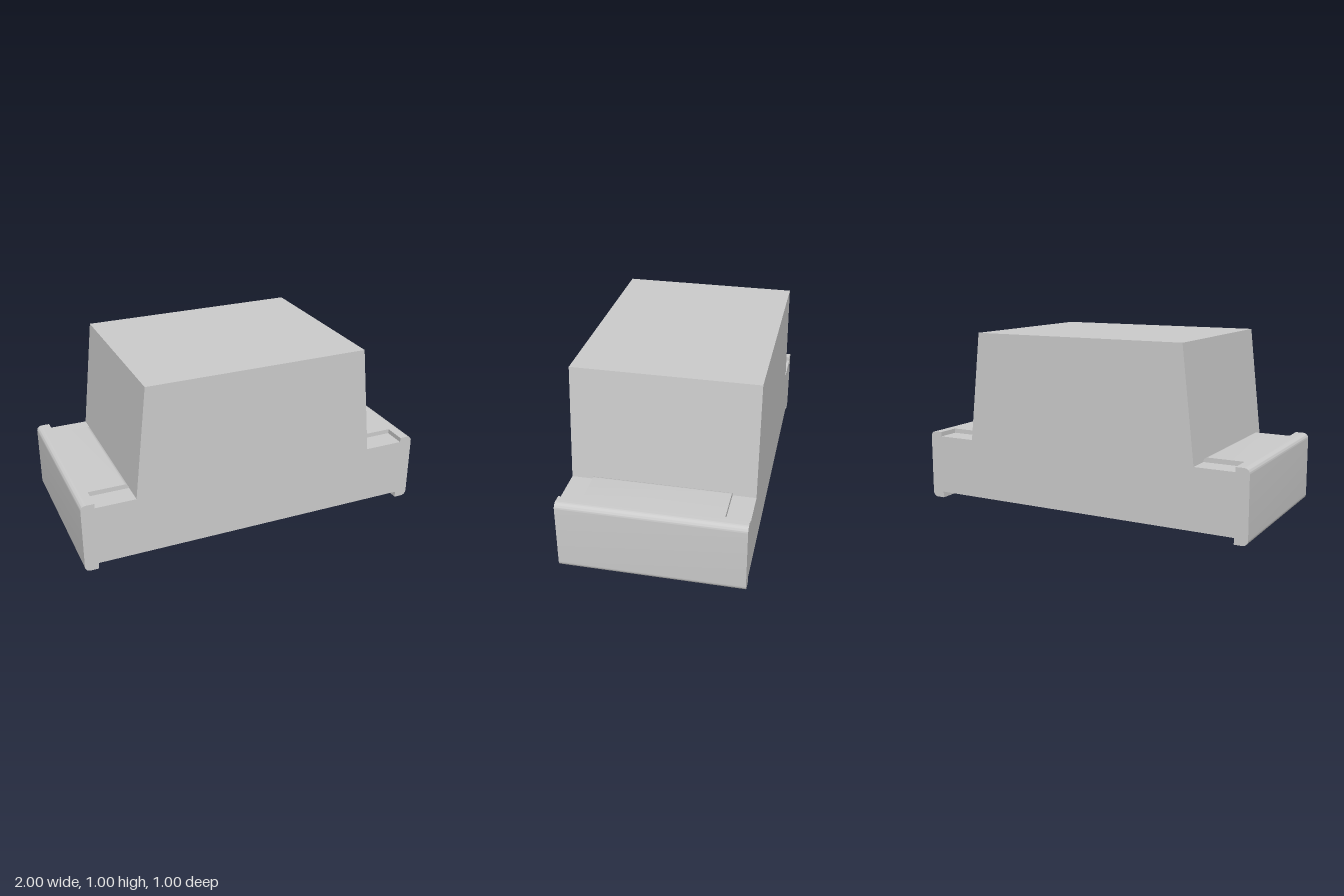
import * as THREE from 'three';
import { toCreasedNormals } from 'three/addons/utils/BufferGeometryUtils.js';

const material = new THREE.MeshStandardMaterial({ color: 0xcccccc });
const R = 0.03; // edge rounding
const TOP = 0.4, LEDGE = 0.374, UNDER = 0.035;
const PAD_IN = 0.7, PAD_OUT = 0.925, PAD_Z = 0.374;

// Extrude a front profile along z, centred, keeping sharp edges sharp
function slab(name, shape, depth) {
  const geo = new THREE.ExtrudeGeometry(shape, { depth, bevelEnabled: false, curveSegments: 8 });
  geo.translate(0, 0, -depth / 2);
  const mesh = new THREE.Mesh(toCreasedNormals(geo, 0.6), material);
  mesh.name = name;
  return mesh;
}

// Housing: wide base with rounded end lips and a tapered tower
function housingShape() {
  const s = new THREE.Shape();
  s.moveTo(-PAD_OUT, UNDER);
  s.lineTo(PAD_OUT, UNDER);
  s.lineTo(PAD_OUT, 0);
  s.lineTo(1 - R, 0);
  s.absarc(1 - R, R, R, -Math.PI / 2, 0, false);
  s.absarc(1 - R, TOP - R, R, 0, Math.PI / 2, false);
  s.lineTo(PAD_OUT, TOP);
  s.lineTo(PAD_OUT, LEDGE);
  s.lineTo(PAD_IN, LEDGE);
  s.lineTo(0.63, 1);
  s.lineTo(-0.63, 1);
  s.lineTo(-PAD_IN, LEDGE);
  s.lineTo(-PAD_OUT, LEDGE);
  s.lineTo(-PAD_OUT, TOP);
  s.lineTo(-1 + R, TOP);
  s.absarc(-1 + R, TOP - R, R, Math.PI / 2, Math.PI, false);
  s.absarc(-1 + R, R, R, Math.PI, Math.PI * 1.5, false);
  s.lineTo(-PAD_OUT, 0);
  s.closePath();
  return s;
}

// Raised pad with a rounded inner edge; side is +1 or -1
function padShape(side, base, face) {
  const r = Math.abs(face - base);
  const pts = [new THREE.Vector2(side * PAD_OUT, base), new THREE.Vector2(side * PAD_OUT, face)];
  for (let i = 0; i <= 8; i++) {
    const a = (i / 8) * Math.PI / 2;
    pts.push(new THREE.Vector2(
      side * (PAD_IN + r - r * Math.sin(a)),
      base + (face - base) * Math.cos(a)));
  }
  return new THREE.Shape(pts);
}

export function createModel() {
  const model = new THREE.Group();
  model.name = 'terminalHousing';
  model.add(slab('housing', housingShape(), 1));

  // Pads between the corner notches, above and below each end
  for (const side of [1, -1]) {
    const label = side > 0 ? 'left' : 'right';
    model.add(slab(label + 'TopPad', padShape(side, LEDGE, TOP), PAD_Z * 2));
    model.add(slab(label + 'BottomPad', padShape(side, UNDER, 0), PAD_Z * 2));
  }

  // Shallow triangular boss on the underside
  const tri = new THREE.Shape([
    new THREE.Vector2(0.345, -0.41),
    new THREE.Vector2(0.345, 0.41),
    new THREE.Vector2(-0.345, 0),
  ]);
  const geo = new THREE.ExtrudeGeometry(tri, { depth: 0.015, bevelEnabled: false });
  geo.rotateX(Math.PI / 2);
  geo.translate(0, UNDER, 0);
  const boss = new THREE.Mesh(geo, material);
  boss.name = 'triangleBoss';
  model.add(boss);
  return model;
}
